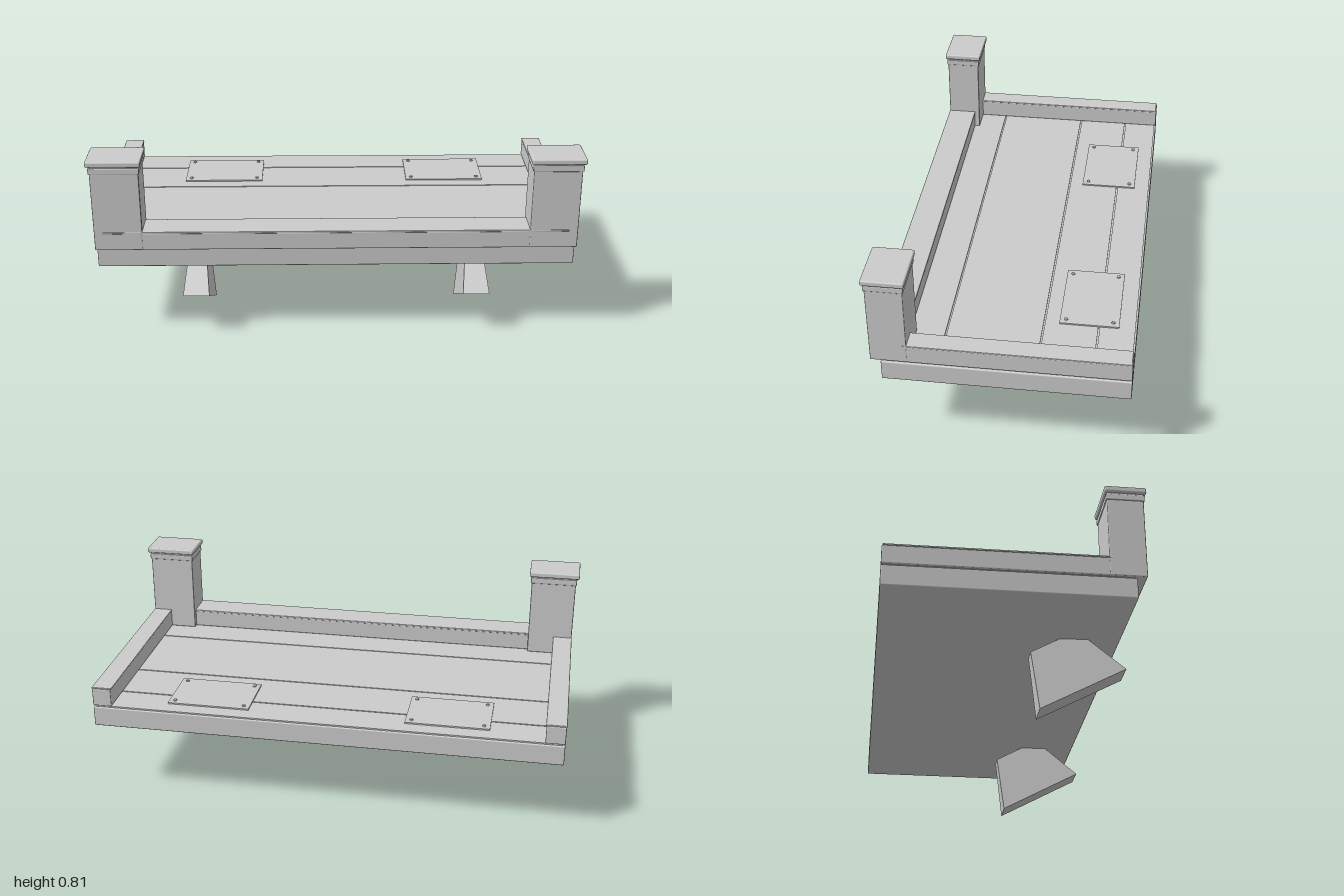
import * as THREE from 'three';
import { RoundedBoxGeometry } from 'three/addons/geometries/RoundedBoxGeometry.js';
import { ConvexGeometry } from 'three/addons/geometries/ConvexGeometry.js';

export function createModel() {
  const group = new THREE.Group();
  const grey = new THREE.MeshStandardMaterial({ color: 0xcccccc });
  grey.name = 'light grey';

  const add = (name, geometry, parent = group) => {
    const mesh = new THREE.Mesh(geometry, grey);
    mesh.name = name;
    parent.add(mesh);
    return mesh;
  };
  // Box given by its limits, with slightly softened edges when r > 0
  const block = (name, [x0, x1], [y0, y1], [z0, z1], r = 0, parent = group) => {
    const size = [x1 - x0, y1 - y0, z1 - z0];
    const geometry = r ? new RoundedBoxGeometry(...size, 2, r) : new THREE.BoxGeometry(...size);
    add(name, geometry, parent).position.set((x0 + x1) / 2, (y0 + y1) / 2, (z0 + z1) / 2);
  };

  // Deck slab, with thin planks separated by narrow grooves
  block('deck', [-0.985, 0.985], [0.32, 0.407], [-0.512, 0.463], 0.005);
  const seams = [-0.508, -0.36, -0.14, 0.24, 0.44];
  for (let i = 0; i < seams.length - 1; i++) {
    block('plank', [-0.975, 0.975], [0.4, 0.413], [seams[i] + 0.003, seams[i + 1] - 0.003]);
  }

  // Front rail with a thin top strip
  block('frontRail', [-0.95, 0.95], [0.415, 0.489], [0.38, 0.502], 0.004);
  block('frontRailTop', [-0.95, 0.95], [0.487, 0.496], [0.378, 0.504], 0.003);

  for (const s of [-1, 1]) {
    const side = new THREE.Group();
    side.name = s > 0 ? 'leftSide' : 'rightSide';
    group.add(side);
    const span = (a, b) => (s > 0 ? [a, b] : [-b, -a]);

    // Side rail
    block('sideRail', span(0.905, 0.985), [0.414, 0.491], [-0.511, 0.375], 0.004, side);
    block('sideRailTop', span(0.903, 0.987), [0.489, 0.497], [-0.508, 0.375], 0.003, side);

    // Corner post with collar and cap
    block('post', span(0.79, 0.986), [0.415, 0.787], [0.357, 0.503], 0.004, side);
    block('postCollar', span(0.786, 0.99), [0.752, 0.778], [0.353, 0.507], 0.004, side);
    block('postCap', span(0.78, 1), [0.784, 0.807], [0.347, 0.513], 0.006, side);

    // Floor plate with corner rivets
    block('floorPlate', span(0.33, 0.68), [0.41, 0.419], [-0.44, -0.2], 0, side);
    for (const x of [0.355, 0.655]) for (const z of [-0.415, -0.225]) {
      add('rivet', new THREE.CylinderGeometry(0.007, 0.008, 0.006, 10), side)
        .position.set(s * x, 0.421, z);
    }

    // Tilted, tapered foot: wide base, narrower top sunk into the deck
    const corners = [];
    for (const [z, y, w] of [[0.48, 0.188, 0.055], [0.13, 0, 0.055], [0.1, 0.255, 0.032], [0.29, 0.359, 0.032]]) {
      for (const k of [-1, 1]) corners.push(new THREE.Vector3(s * 0.586 + k * w, y, z));
    }
    add('foot', new ConvexGeometry(corners), side);
  }
  return group;
}
